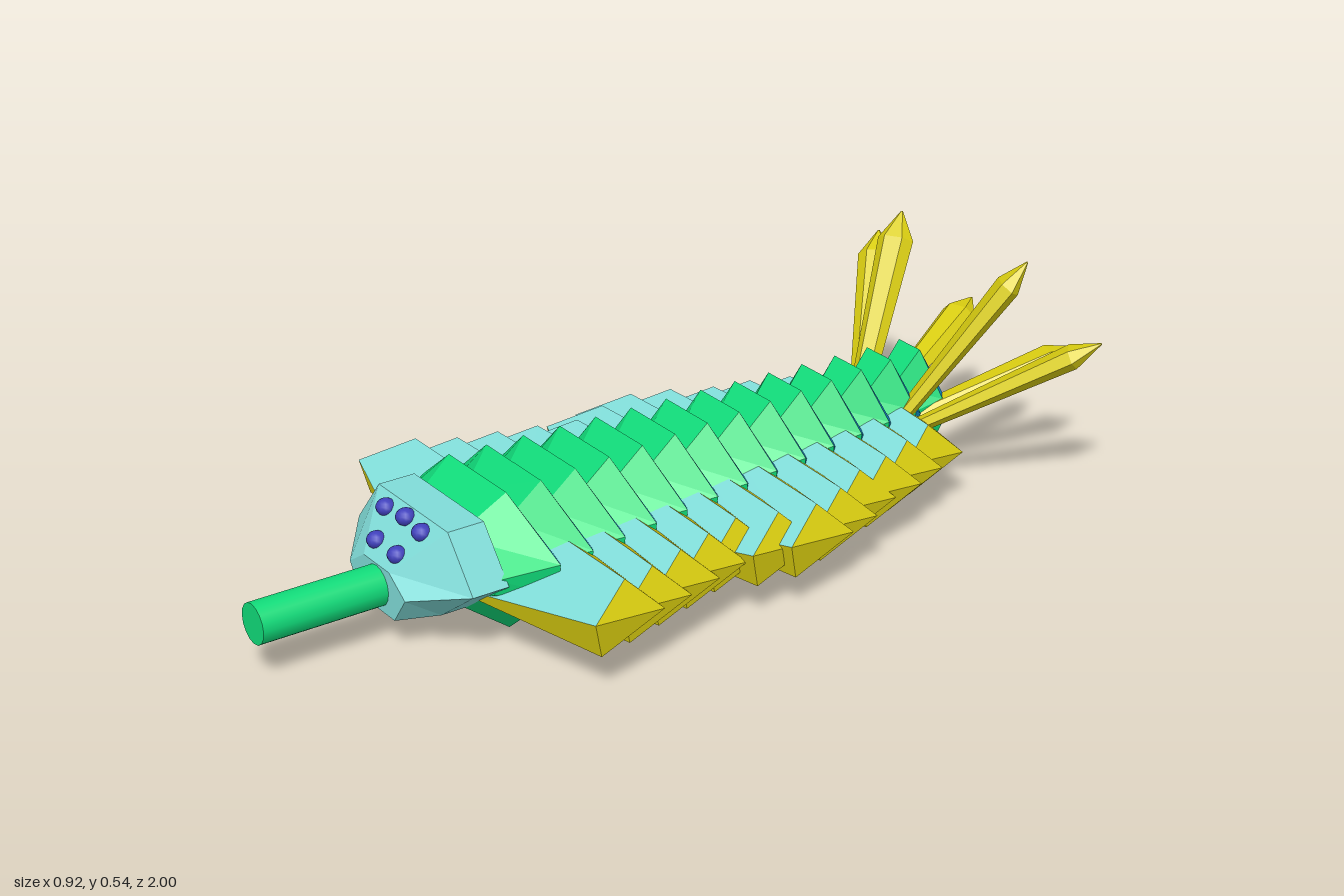
import * as THREE from 'three';

const paint = (name, color) => {
  const m = new THREE.MeshStandardMaterial({ color });
  m.name = name;
  return m;
};

// Faceted skin through a row of rings; pick(band, side) gives the material index.
// Caps are asked for as pick('start') and pick('end').
function loft(rings, pick) {
  const pos = [], geo = new THREE.BufferGeometry();
  const add = (mat, ...tris) => {
    geo.addGroup(pos.length / 3, tris.length, mat);
    tris.forEach(p => pos.push(...p));
  };
  const n = rings[0].length, last = rings[rings.length - 1];
  for (let i = 0; i < rings.length - 1; i++) {
    for (let j = 0; j < n; j++) {
      const k = (j + 1) % n;
      const a = rings[i][j], b = rings[i][k], c = rings[i + 1][k], d = rings[i + 1][j];
      add(pick(i, j), a, b, c, a, c, d);
    }
  }
  for (let j = 1; j < n - 1; j++) {
    add(pick('start'), rings[0][0], rings[0][j + 1], rings[0][j]);
    add(pick('end'), last[0], last[j], last[j + 1]);
  }
  geo.setAttribute('position', new THREE.Float32BufferAttribute(pos, 3));
  geo.computeVertexNormals();
  return geo;
}

export function createModel() {
  const green = paint('shell green', 0x10dc7a);
  const blue = paint('shell blue', 0x0f92d2);
  const cyan = paint('pale cyan', 0x80dcd8);
  const yellow = paint('fin yellow', 0xd8cc10);
  const indigo = paint('eye indigo', 0x4040bc);

  const model = new THREE.Group();
  const put = (name, geo, mat, parent = model) => {
    const mesh = new THREE.Mesh(geo, mat);
    mesh.name = name;
    parent.add(mesh);
    return mesh;
  };
  const group = name => {
    const g = new THREE.Group();
    g.name = name;
    model.add(g);
    return g;
  };
  const STEP = 0.088, FIRST = 0.47;

  // Body: overlapping ridged rings, green in front and blue behind
  const body = group('body');
  const octagon = (w, z, sx, sy, sweep) => [
    [1, 0.045], [0.42, 0.155], [-0.42, 0.155], [-1, 0.045],
    [-0.96, -0.025], [-0.42, -0.155], [0.42, -0.155], [0.96, -0.025],
  ].map(([x, y]) => [x * w * sx, 0.155 + y * sy, z - (Math.abs(x) > 0.5 ? sweep : 0)]);
  for (let i = 0; i < 14; i++) {
    const z = FIRST - i * STEP, w = 0.262 - i * 0.0135;
    const rings = [
      octagon(w, z - 0.03, 0.8, 0.5, 0.03),
      octagon(w, z, 1, 1, 0.03),
      octagon(w, z + (i ? 0.07 : 0.11), 0.8, 0.5, 0.02),
    ];
    const pick = band => (band === 'start' || band === 0 ? 1 : 0);
    put('bodySegment', loft(rings, pick), [green, blue], body);
  }

  // Head: faceted wedge
  const headRing = (pts, z) => pts.map(([x, y]) => [x, y, z]);
  const brow = [[0.225, 0.165], [0.135, 0.275], [-0.135, 0.275], [-0.225, 0.165], [-0.1, 0.072], [0.1, 0.072]];
  const snout = [[0.11, 0.135], [0.05, 0.175], [-0.05, 0.175], [-0.11, 0.135], [-0.065, 0.072], [0.065, 0.072]];
  put('head', loft([headRing(brow, 0.54), headRing(brow, 0.625), headRing(snout, 0.715)], () => 0), [cyan]);

  // Five eyes on the sloping brow
  const eyes = group('eyes');
  for (const [x, y, z] of [[-0.074, 0.253, 0.645], [0, 0.26, 0.642], [0.067, 0.253, 0.645],
    [-0.042, 0.204, 0.688], [0.04, 0.204, 0.688]]) {
    const eye = put('eye', new THREE.SphereGeometry(0.022, 12, 8), indigo, eyes);
    eye.position.set(x, y, z);
    eye.scale.y = 0.85;
  }

  // Proboscis
  const trunk = put('proboscis', new THREE.CylinderGeometry(0.045, 0.045, 0.32, 16), green);
  trunk.rotation.x = Math.PI / 2;
  trunk.position.set(0, 0.126, 0.84);

  // Side lobes: cyan above and below, yellow edges
  const lobes = group('sideLobes');
  const spans = [0.46, 0.43, 0.405, 0.38, 0.355, 0.385, 0.4, 0.37, 0.325, 0.305, 0.27, 0.235];
  spans.forEach((s, i) => {
    const z = FIRST - i * STEP, drop = i ? 0.01 : 0;
    const root = [[0.06, 0.12, z + 0.13], [0.06, 0.11, z + 0.03], [0.06, 0.15, z - 0.17], [0.06, 0.21, z - 0.09]];
    const tip = [
      [s, 0.165 - drop, z + 0.02], [s - 0.01, 0.085 - drop, z],
      [s - 0.02, 0.14 - drop, z - 0.16], [s - 0.06, 0.21 - drop, z - 0.09],
    ];
    const pick = (band, side) => (band === 0 && (side === 1 || side === 3) ? 0 : 1);
    const flip = ring => ring.map(([x, y, q]) => [-x, y, q]);
    put('leftLobe', loft([root, tip], pick), [cyan, yellow], lobes);
    put('rightLobe', loft([flip(tip), flip(root)], pick), [cyan, yellow], lobes);
  });

  // Tail blades: flattened six-sided spikes with a bevelled point
  const tail = group('tailBlades');
  const blade = (from, to) => {
    const a = new THREE.Vector3(...from), b = new THREE.Vector3(...to);
    const dir = b.clone().sub(a).normalize();
    const side = new THREE.Vector3(0, 1, 0).cross(dir).normalize();
    const up = dir.clone().cross(side);
    const rings = [[0, 0.6], [0.85, 1], [1, 0.06]].map(([t, k]) => {
      const c = a.clone().lerp(b, t), ring = [];
      for (let j = 0; j < 6; j++) {
        const ang = j * Math.PI / 3;
        ring.push(c.clone().addScaledVector(side, 0.042 * k * Math.cos(ang))
          .addScaledVector(up, 0.026 * k * Math.sin(ang)).toArray());
      }
      return ring;
    });
    put('tailBlade', loft(rings, () => 0), [yellow], tail);
  };
  blade([0.07, 0.17, -0.59], [0.205, 0.54, -0.83]);
  blade([-0.07, 0.17, -0.59], [-0.215, 0.53, -0.82]);
  blade([0.1, 0.16, -0.61], [0.39, 0.395, -0.89]);
  blade([-0.09, 0.16, -0.61], [-0.35, 0.43, -0.865]);
  blade([0.05, 0.16, -0.64], [0.19, 0.29, -1]);
  blade([-0.04, 0.16, -0.64], [-0.165, 0.29, -1]);

  return model;
}
